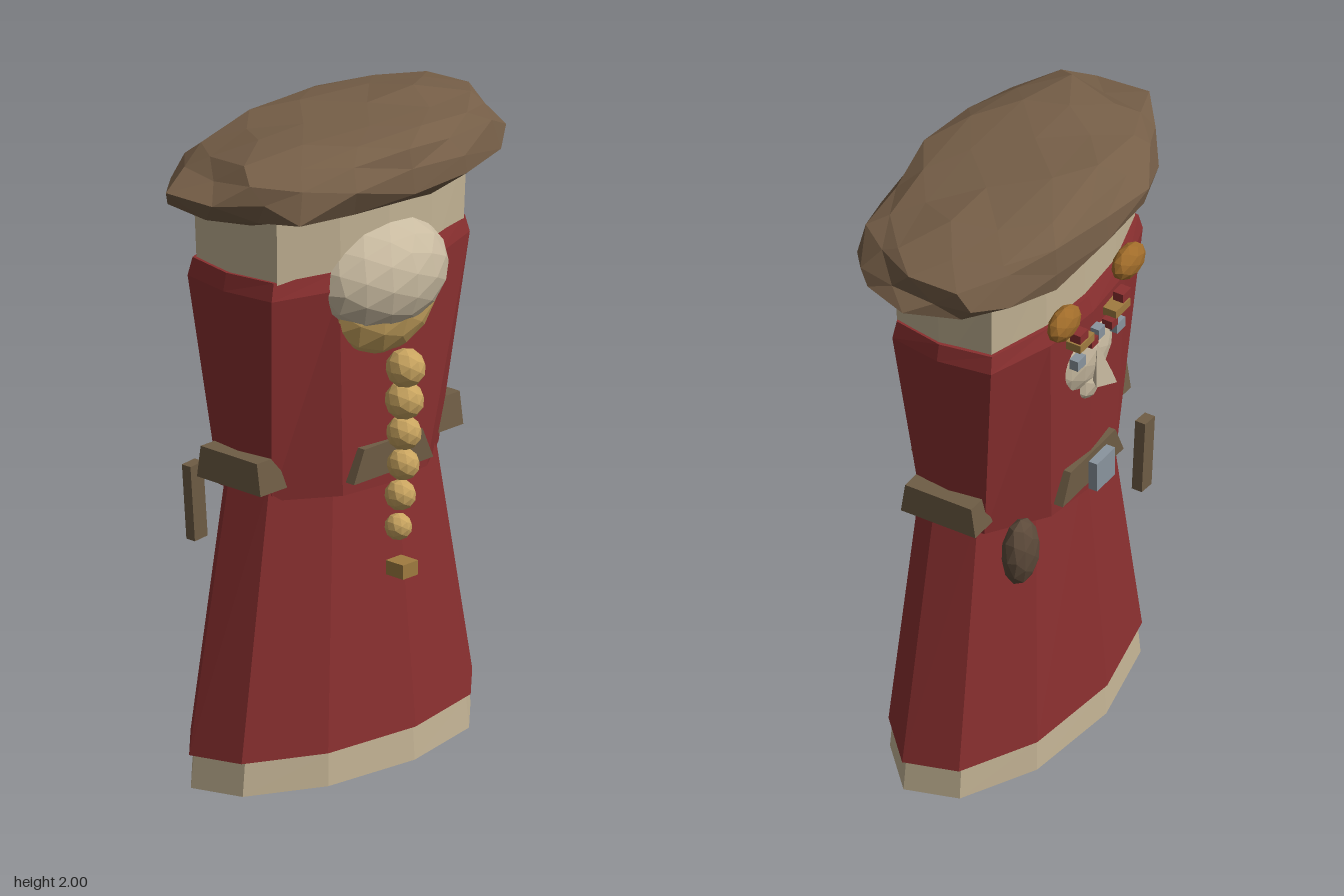
import * as THREE from 'three';

const mat = (name, color, side = THREE.FrontSide) => {
  const m = new THREE.MeshStandardMaterial({ color, flatShading: true, side });
  m.name = name;
  return m;
};

export function createModel() {
  const group = new THREE.Group();
  const red = mat('red cloth', 0x8b3030);
  const linen = mat('linen', 0xc4b495, THREE.DoubleSide);
  const skin = mat('pale skin', 0xc8baa0);
  const fur = mat('brown fur', 0x755e47);
  const blonde = mat('blonde hair', 0xc9a560);
  const ochre = mat('ochre', 0xa07c40);
  const amber = mat('amber', 0xa06c2a);
  const leather = mat('leather', 0x6f5d45);
  const darkLeather = mat('dark leather', 0x5c4a3a);
  const steel = mat('steel', 0x8a949e);

  const add = (name, geo, material, x = 0, y = 0, z = 0) => {
    const m = new THREE.Mesh(geo, material);
    m.name = name;
    m.position.set(x, y, z);
    group.add(m);
    return m;
  };
  const box = (name, material, w, h, d, x, y, z) =>
    add(name, new THREE.BoxGeometry(w, h, d), material, x, y, z);
  const blob = (name, material, detail, rx, ry, rz, x, y, z) =>
    add(name, new THREE.IcosahedronGeometry(1, detail).scale(rx, ry, rz), material, x, y, z);

  // Skin a stack of equal-length cross-sections
  const loft = (rings, capTop, capBottom) => {
    const p = [], n = rings[0].length;
    const tri = (...v) => v.forEach((q) => p.push(...q));
    for (let r = 0; r < rings.length - 1; r++)
      for (let i = 0; i < n; i++) {
        const j = (i + 1) % n, lo = rings[r], hi = rings[r + 1];
        tri(lo[i], hi[i], lo[j]);
        tri(lo[j], hi[i], hi[j]);
      }
    const top = rings[rings.length - 1], bottom = rings[0];
    for (let i = 1; i < n - 1; i++) {
      if (capTop) tri(top[0], top[i + 1], top[i]);
      if (capBottom) tri(bottom[0], bottom[i], bottom[i + 1]);
    }
    const g = new THREE.BufferGeometry();
    g.setAttribute('position', new THREE.Float32BufferAttribute(p, 3));
    g.computeVertexNormals();
    return g;
  };
  // Ten-sided oval, turned slightly about the vertical
  const oval = (y, rx, rz) => Array.from({ length: 10 }, (_, i) => {
    const a = i * Math.PI / 5 + 0.17;
    return [rx * Math.cos(a), y, rz * Math.sin(a)];
  });
  // Bowed box section: side hx, corner (cx, cz), shoulder (fx, fz), front hz
  const bowed = (y, hx, cx, cz, fx, fz, hz) => [
    [hx, 0], [cx, cz], [fx, fz], [0, hz], [-fx, fz], [-cx, cz],
    [-hx, 0], [-cx, -cz], [-fx, -fz], [0, -hz], [fx, -fz], [cx, -cz],
  ].map(([x, z]) => [x, y, z]);
  const rect = (y, hx, hz) => [[hx, y, -hz], [hx, y, hz], [-hx, y, hz], [-hx, y, -hz]];

  // Robe: linen lining, flared skirt, tapered torso and collar
  add('underRobe', loft([
    oval(0, 0.56, 0.27), oval(0.1, 0.547, 0.265), oval(0.88, 0.395, 0.205),
  ], true, false), linen, 0.005, 0, -0.002);
  add('skirt', loft([oval(0.105, 0.567, 0.273), oval(0.96, 0.4, 0.213)], true, false), red, 0.005, 0, -0.002);
  add('torso', loft([
    bowed(0.89, 0.372, 0.358, 0.108, 0.18, 0.23, 0.252),
    bowed(1.55, 0.452, 0.425, 0.172, 0.21, 0.246, 0.264),
    bowed(1.605, 0.44, 0.41, 0.166, 0.2, 0.234, 0.25),
  ], true, true), red, 0.005, 0, -0.01);
  add('collar', loft([
    bowed(1.5, 0.425, 0.397, 0.163, 0.19, 0.226, 0.24),
    bowed(1.83, 0.442, 0.408, 0.17, 0.2, 0.23, 0.245),
  ], true, false), linen, 0.005, 0, -0.004);

  // Lumpy flattened fur hat, fitted to its final extents
  const hat = new THREE.IcosahedronGeometry(1, 2);
  const pos = hat.attributes.position;
  const v = new THREE.Vector3();
  const noise = (a, b, c) => {
    const s = Math.sin(Math.round(a * 50) * 12.99 + Math.round(b * 50) * 78.23 + Math.round(c * 50) * 37.72) * 43758.55;
    return s - Math.floor(s) - 0.5;
  };
  const bulge = (t, e) => Math.sign(t) * Math.abs(t) ** e;
  for (let i = 0; i < pos.count; i++) {
    v.fromBufferAttribute(pos, i);
    const k = 1 + 0.17 * noise(v.x, v.y, v.z);
    const lift = 0.26 * noise(v.z, v.x, v.y);
    pos.setXYZ(i, bulge(v.x, 0.88) * k, bulge(v.y, 0.72) + lift, bulge(v.z, 0.88) * k);
  }
  hat.center();
  const size = hat.boundingBox.getSize(new THREE.Vector3());
  hat.scale(1.24 / size.x, 0.255 / size.y, 0.67 / size.z);
  hat.computeVertexNormals();
  add('hat', hat, fur, 0, 1.8725, 0);

  // Rounded front mass with a blonde tuft and hanging braid
  blob('frontDome', skin, 2, 0.26, 0.185, 0.187, 0.007, 1.538, 0.17);
  blob('hairTuft', blonde, 2, 0.245, 0.205, 0.17, 0.005, 1.473, 0.15);
  [[1.268, 0.061, 0.305], [1.165, 0.06, 0.3], [1.062, 0.054, 0.298],
    [0.962, 0.05, 0.295], [0.862, 0.048, 0.283], [0.76, 0.042, 0.275]]
    .forEach(([y, r, z]) => blob('braidKnot', blonde, 1, r, r, r, 0.005, y, z));
  box('braidTie', ochre, 0.065, 0.045, 0.07, 0.005, 0.635, 0.29);

  // Belt: front and back panels, and a bar emerging at both sides
  add('beltPanels', loft([rect(0.93, 0.17, 0.265), rect(1.03, 0.125, 0.265)], true, true),
    leather, 0.005, 0, -0.009);
  add('beltSides', loft([rect(0.93, 0.435, 0.13), rect(1.03, 0.435, 0.115)], true, true), leather, 0.005, 0, -0.004);
  // Buckle, pouch and sheath
  box('buckle', steel, 0.1, 0.1, 0.03, 0.005, 0.98, -0.304);
  blob('pouch', darkLeather, 1, 0.075, 0.115, 0.05, 0.315, 0.835, -0.214);
  box('sheath', leather, 0.055, 0.24, 0.035, -0.325, 0.8, -0.243).rotation.z = 0.08;

  // Face on the rear panel
  blob('face', skin, 2, 0.17, 0.15, 0.09, 0.005, 1.39, -0.203);
  blob('chin', skin, 1, 0.08, 0.08, 0.07, 0.005, 1.285, -0.217);
  const nose = add('nose', new THREE.ConeGeometry(0.045, 0.13, 4), skin, 0.005, 1.375, -0.3);
  nose.rotation.x = 0.2;
  box('browJewel', steel, 0.035, 0.035, 0.03, 0.005, 1.485, -0.29);
  for (const s of [-1, 1]) {
    blob('ear', amber, 1, 0.075, 0.055, 0.038, 0.18 * s, 1.622, -0.282);
    box('browBead', red, 0.045, 0.03, 0.035, 0.12 * s, 1.545, -0.297);
    box('brow', ochre, 0.08, 0.028, 0.05, 0.1 * s, 1.508, -0.288);
    box('innerBead', red, 0.035, 0.028, 0.035, 0.055 * s, 1.483, -0.295);
    box('eye', steel, 0.045, 0.035, 0.03, 0.11 * s, 1.435, -0.285);
  }
  return group;
}
